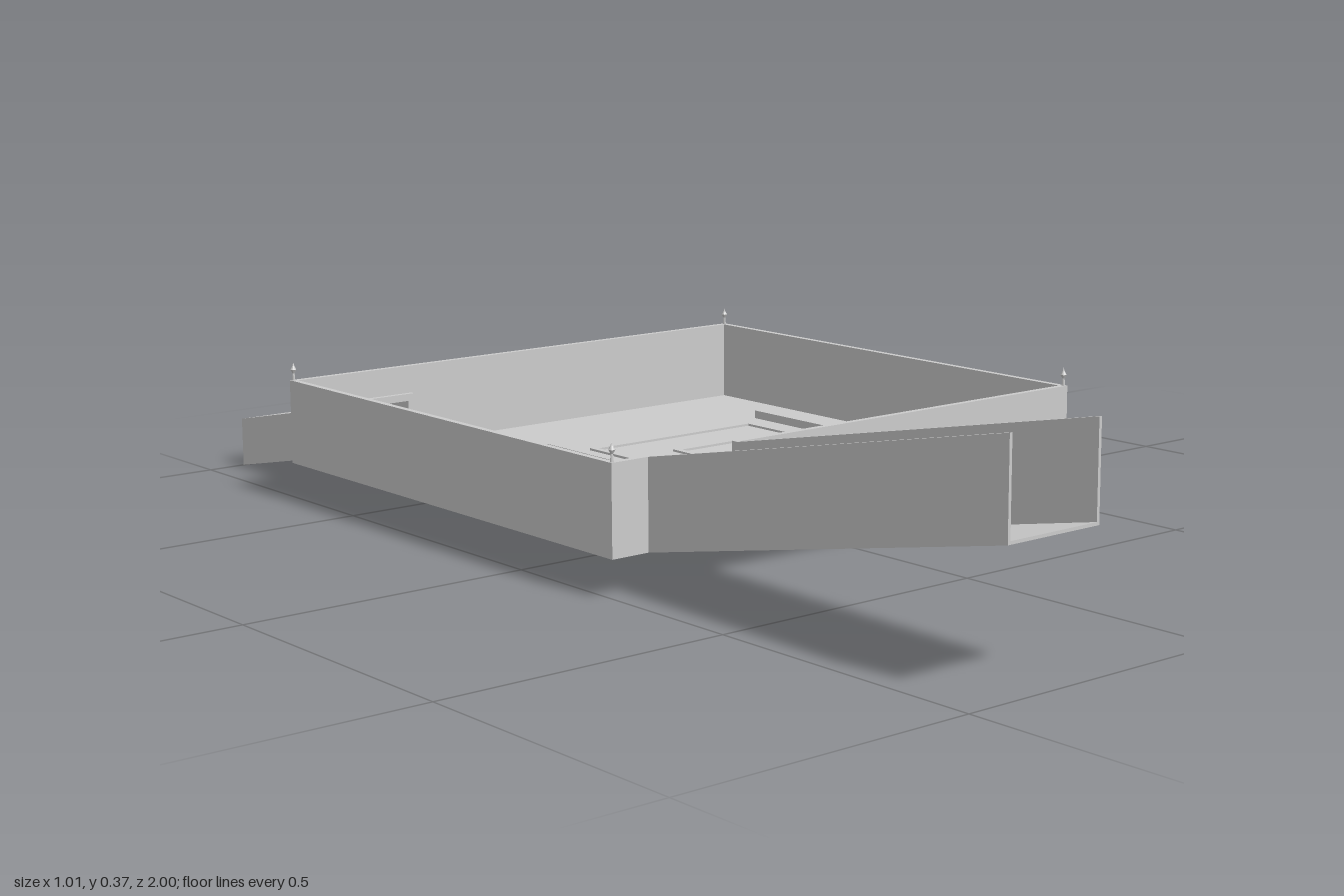
import * as THREE from 'three';

const material = new THREE.MeshStandardMaterial({ color: 0xcccccc, flatShading: true });

function add(group, name, geometry) {
  const mesh = new THREE.Mesh(geometry, material);
  mesh.name = name;
  group.add(mesh);
  return mesh;
}

// Box given by its limits; slope lifts y along z, starting from z = pivot
function block(group, name, [x0, x1], [y0, y1], [z0, z1], slope = 0, pivot = 0) {
  const geometry = new THREE.BoxGeometry(x1 - x0, y1 - y0, z1 - z0);
  geometry.translate((x0 + x1) / 2, (y0 + y1) / 2, (z0 + z1) / 2);
  const p = geometry.attributes.position;
  for (let i = 0; i < p.count; i++) p.setY(i, p.getY(i) + slope * (p.getZ(i) - pivot));
  geometry.computeVertexNormals();
  return add(group, name, geometry);
}

// Flat square outline lying on the floor
function squareOutline(group, name, size, line, x, y, z) {
  const square = (s) => [[-s, -s], [s, -s], [s, s], [-s, s]].map(([a, b]) => new THREE.Vector2(a, b));
  const shape = new THREE.Shape(square(size / 2));
  shape.holes.push(new THREE.Path(square(size / 2 - line)));
  const geometry = new THREE.ExtrudeGeometry(shape, { depth: 0.004, bevelEnabled: false });
  geometry.rotateX(-Math.PI / 2);
  add(group, name, geometry).position.set(x, y, z);
}

// Thin pin with a pointed bulb
function pin(group, name, x, y, z, height) {
  const profile = [[0, 0], [0.003, 0], [0.002, 0.4], [0.0055, 0.6], [0.002, 0.8], [0, 1]];
  const points = profile.map(([r, h]) => new THREE.Vector2(r, h * height));
  add(group, name, new THREE.LatheGeometry(points, 8)).position.set(x, y, z);
}

export function createModel() {
  const model = new THREE.Group();
  const L = -0.503, R = 0.503, F = 0.243, B = -0.693; // tray limits
  const base = 0.063, top = 0.213, floor = 0.068, t = 0.011;

  // Tray with an entrance gap in front and a low exit in the back wall
  const tray = new THREE.Group();
  tray.name = 'tray';
  block(tray, 'floor', [L, R], [base, floor], [B, F]);
  block(tray, 'rightWall', [L, L + t], [base, top], [B, F]);
  block(tray, 'leftWall', [R - t, R], [base, top], [B, F]);
  block(tray, 'frontWallShort', [L, -0.433], [base, top], [F - t, F]);
  block(tray, 'frontWallLong', [-0.256, R], [base, top], [F - t, F]);
  block(tray, 'backWallShort', [L, -0.426], [base, top], [B, B + t]);
  block(tray, 'backWallLong', [-0.266, R], [base, top], [B, B + t]);
  block(tray, 'backWallLintel', [-0.426, -0.266], [0.148, top], [B, B + t]);
  model.add(tray);

  // Pins on the corners and beside the entrance
  for (const x of [-0.498, 0.498])
    for (const z of [-0.688, 0.238]) pin(model, 'cornerPin', x, top, z, 0.032);
  for (const x of [-0.437, -0.251]) pin(model, 'entrancePin', x, floor, 0.226, 0.03);

  // Frame around the exit, inside the tray
  const frame = new THREE.Group();
  frame.name = 'exitFrame';
  const frameZ = [B + t, -0.673];
  block(frame, 'framePost', [-0.435, -0.423], [floor, 0.163], frameZ);
  block(frame, 'framePost', [-0.269, -0.257], [floor, 0.163], frameZ);
  block(frame, 'frameLintel', [-0.435, -0.257], [0.15, 0.163], frameZ);
  model.add(frame);

  // Open ramp rising towards the front
  const ramp = new THREE.Group();
  ramp.name = 'entryRamp';
  const rampZ = [F, 1], up = 0.152 / (1 - F);
  block(ramp, 'rampFloor', [-0.433, -0.256], [base, floor], rampZ, up, F);
  for (const x of [-0.433, -0.261])
    block(ramp, 'rampWall', [x, x + 0.005], [base, top], rampZ, up, F);
  model.add(ramp);

  // Closed chute falling towards the back
  const chute = new THREE.Group();
  chute.name = 'exitChute';
  const chuteZ = [-1, B], down = base / (1 + B);
  block(chute, 'chuteFloor', [-0.43, -0.262], [base, base + 0.004], chuteZ, down, B);
  block(chute, 'chuteRoof', [-0.43, -0.262], [0.148, 0.152], chuteZ, down, B);
  for (const x of [-0.43, -0.266])
    block(chute, 'chuteWall', [x, x + 0.004], [base, 0.152], chuteZ, down, B);
  model.add(chute);

  // Rails and square outlines on the floor
  for (const x of [-0.105, 0.39])
    block(model, 'floorRail', [x - 0.01, x + 0.01], [floor, floor + 0.015], [-0.455, 0]);
  squareOutline(model, 'outerSquare', 0.38, 0.012, 0.1425, floor, -0.2275);
  squareOutline(model, 'innerSquare', 0.165, 0.012, 0.1425, floor, -0.2275);

  return model;
}
